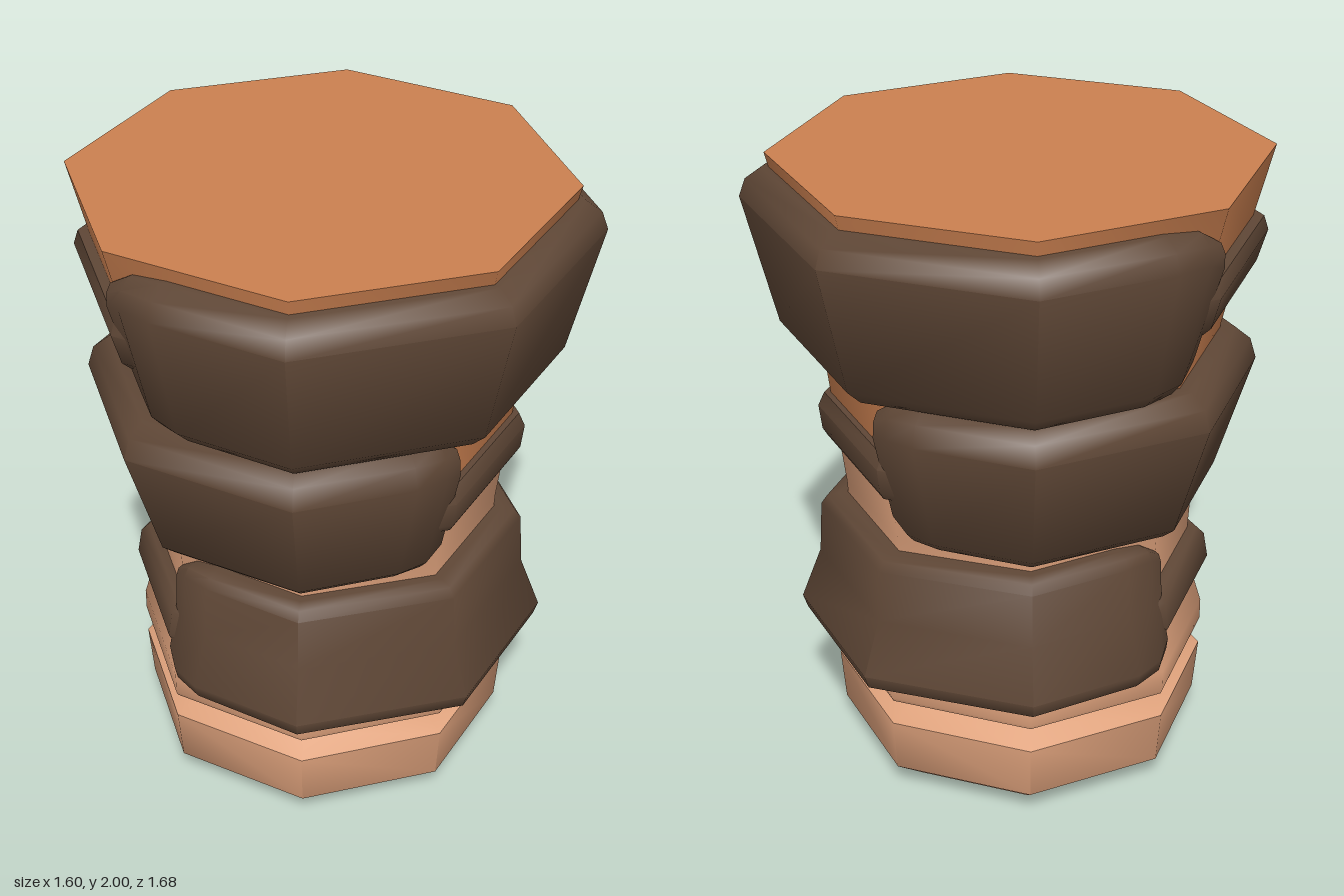
import * as THREE from 'three';
import { toCreasedNormals } from 'three/addons/utils/BufferGeometryUtils.js';

const AXIS_X = -0.04; // the limb's axis sits slightly off centre
const CREASE = 0.9;
const rad = THREE.MathUtils.degToRad;

// Radius factor that keeps points on an octagon with corners every 45 degrees
function octagon(deg) {
  const m = ((deg % 45) + 45) % 45;
  return Math.cos(rad(22.5)) / Math.cos(rad(m - 22.5));
}

// Sweep a closed [radius, y] section round the octagon; each station is
// [degrees, thickness scale, height scale]
function sweep(section, stations, middle, tilt) {
  const n = section.length, pos = [], idx = [];
  const [r0, y0] = section[0], [r1, y1] = section[n - 1];
  const midY = (y0 + y1) / 2;
  for (const [deg, thick, high] of stations) {
    const a = rad(middle + deg), k = octagon(middle + deg);
    for (const [r, y] of section) {
      const inner = r0 + (r1 - r0) * (y - y0) / (y1 - y0);
      const rr = (inner + (r - inner) * thick) * k;
      const x = rr * Math.cos(a);
      pos.push(AXIS_X + x, midY + (y - midY) * high + tilt * x, rr * Math.sin(a));
    }
  }
  const last = (stations.length - 1) * n;
  for (let i = 0; i < last; i += n) {
    for (let j = 0; j < n; j++) {
      const k = (j + 1) % n;
      idx.push(i + j, i + k, i + n + j, i + k, i + n + k, i + n + j);
    }
  }
  for (let j = 1; j < n - 1; j++) {
    idx.push(0, j + 1, j, last, last + j, last + j + 1);
  }
  const g = new THREE.BufferGeometry();
  g.setAttribute('position', new THREE.Float32BufferAttribute(pos, 3));
  g.setIndex(idx);
  return toCreasedNormals(g, CREASE);
}

// Wide pad covering three quarters of the way round, with rounded ends
const END = [[120, 1, 1], [129, 0.75, 0.96], [135, 0.4, 0.78]];
const PAD = [
  ...END.map(([a, t, h]) => [-a, t, h]).reverse(),
  ...[-90, -45, 0, 45, 90].map((a) => [a, 1, 1]),
  ...END,
];
// Narrow strap bridging the pad's opening
const STRAP = [-52, -45, 0, 45, 52].map((a) => [a, 1, 1]);

export function createModel() {
  const group = new THREE.Group();
  const paleSkin = new THREE.MeshStandardMaterial({ name: 'paleSkin', color: 0xdfa27c });
  const tanSkin = new THREE.MeshStandardMaterial({ name: 'tanSkin', color: 0xcb8050 });
  const leather = new THREE.MeshStandardMaterial({ name: 'darkLeather', color: 0x5f4736 });

  const add = (name, geometry, material) => {
    const mesh = new THREE.Mesh(geometry, material);
    mesh.name = name;
    group.add(mesh);
  };
  const turned = (name, points, material) => {
    const g = new THREE.LatheGeometry(points.map(([r, y]) => new THREE.Vector2(r, y)), 8);
    g.translate(AXIS_X, 0, 0);
    add(name, toCreasedNormals(g, CREASE), material);
  };

  // Eight-sided limb, from the rounded foot to the flared flat top
  turned('foot', [[0, 0], [0.48, 0], [0.585, 0.08], [0.6, 0.255], [0.51, 0.295]], paleSkin);
  turned('groove', [[0.51, 0.295], [0.595, 0.337]], tanSkin);
  turned('lowerLimb', [[0.595, 0.337], [0.6, 0.35], [0.6, 0.42], [0.56, 0.55],
    [0.545, 0.7], [0.555, 0.9], [0.585, 1.14]], paleSkin);
  turned('upperLimb', [[0.585, 1.14], [0.62, 1.42], [0.695, 1.75], [0.76, 2], [0, 2]], tanSkin);

  // Three leather wraps, opening on alternate sides
  const wraps = [
    {
      name: 'lower', middle: 0, tilt: -0.03,
      pad: [[0.55, 0.44], [0.66, 0.435], [0.7, 0.455], [0.715, 0.5], [0.65, 0.67],
        [0.64, 0.84], [0.62, 0.868], [0.58, 0.875], [0.53, 0.875]],
      strap: [[0.53, 0.56], [0.6, 0.56], [0.615, 0.59], [0.6, 0.675], [0.575, 0.7], [0.53, 0.7]],
    },
    {
      name: 'middle', middle: 180, tilt: 0.008,
      pad: [[0.54, 0.905], [0.58, 0.905], [0.62, 0.94], [0.735, 1.31], [0.715, 1.375],
        [0.665, 1.415], [0.6, 1.415]],
      strap: [[0.56, 1.065], [0.61, 1.065], [0.625, 1.09], [0.635, 1.17], [0.615, 1.215], [0.57, 1.215]],
    },
    {
      name: 'upper', middle: 0, tilt: 0,
      pad: [[0.6, 1.412], [0.69, 1.412], [0.74, 1.46], [0.84, 1.865], [0.82, 1.92],
        [0.77, 1.955], [0.72, 1.955]],
      strap: [[0.63, 1.6], [0.69, 1.6], [0.72, 1.63], [0.75, 1.73], [0.735, 1.775], [0.66, 1.78]],
    },
  ];
  for (const w of wraps) {
    add(w.name + 'Pad', sweep(w.pad, PAD, w.middle, w.tilt), leather);
    add(w.name + 'Strap', sweep(w.strap, STRAP, w.middle + 180, 0), leather);
  }
  return group;
}
